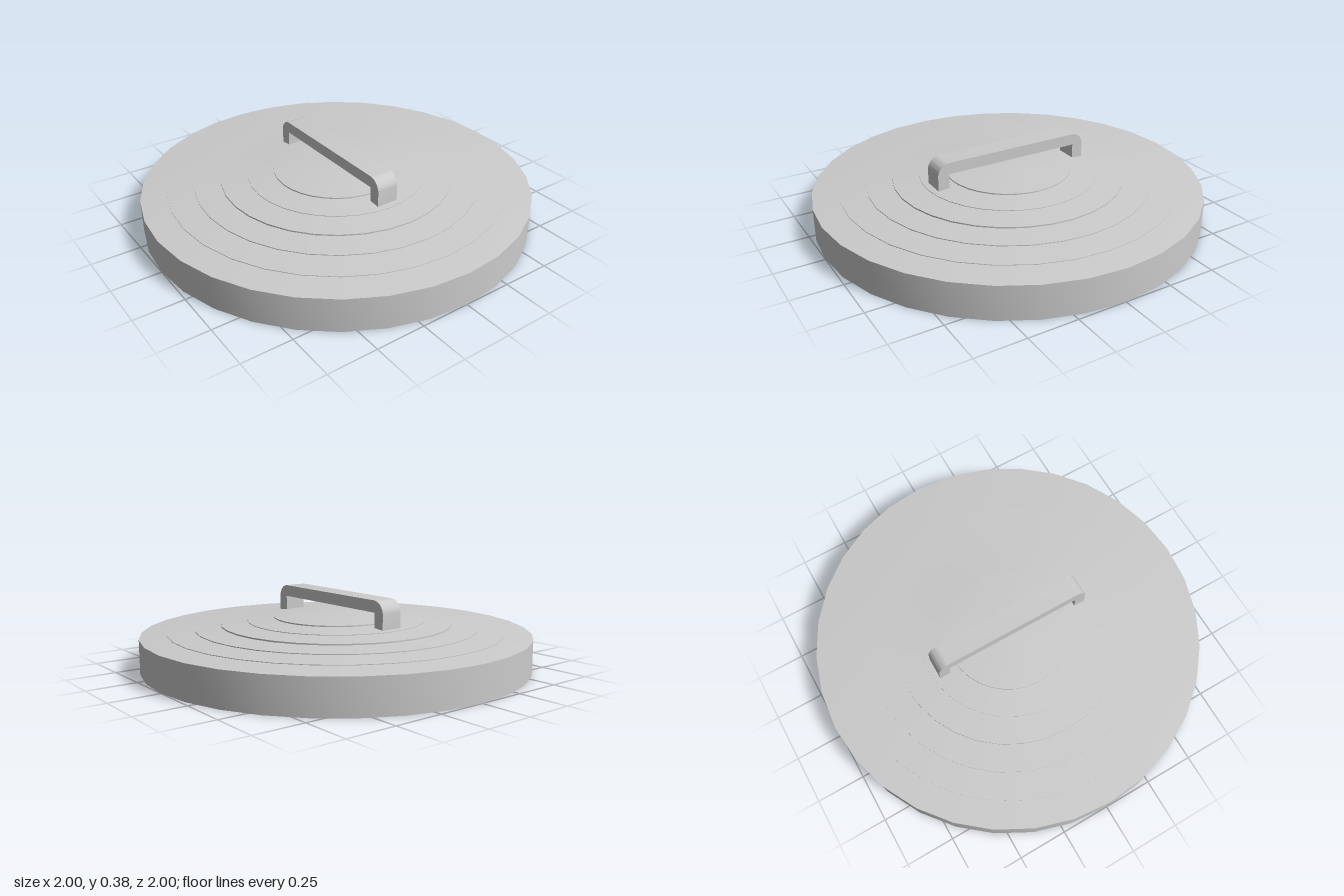
import * as THREE from 'three';
import { toCreasedNormals } from 'three/addons/utils/BufferGeometryUtils.js';

const material = new THREE.MeshStandardMaterial({ color: 0xcccccc });

function part(name, geometry) {
  const mesh = new THREE.Mesh(toCreasedNormals(geometry, Math.PI / 6), material);
  mesh.name = name;
  return mesh;
}

// Lid: recessed underside, straight rim and a shallow dome of stepped rings
function makeLid() {
  const rings = [ // radius, height below the step, height above it
    [0.866, 0.185, 0.188], [0.73, 0.199, 0.203], [0.595, 0.213, 0.220],
    [0.459, 0.231, 0.234], [0.323, 0.246, 0.252],
  ];
  const profile = [[0, 0.107], [0.938, 0.107], [0.938, 0], [1, 0], [1, 0.172]];
  for (const [r, low, high] of rings) profile.push([r, low], [r, high]);
  profile.push([0.1, 0.268], [0, 0.268]);
  return part('lid', new THREE.LatheGeometry(profile.map(([r, y]) => new THREE.Vector2(r, y)), 32));
}

// Handle: flat strap with rounded outer corners, its feet sunk into the lid
function makeHandle() {
  const outer = 0.425, inner = 0.365, top = 0.375, under = 0.316, foot = 0.22, r = 0.065, width = 0.114;
  const shape = new THREE.Shape();
  shape.moveTo(-outer, foot);
  shape.lineTo(-inner, foot);
  shape.lineTo(-inner, under);
  shape.lineTo(inner, under);
  shape.lineTo(inner, foot);
  shape.lineTo(outer, foot);
  shape.lineTo(outer, top - r);
  shape.absarc(outer - r, top - r, r, 0, Math.PI / 2, false);
  shape.lineTo(-outer + r, top);
  shape.absarc(-outer + r, top - r, r, Math.PI / 2, Math.PI, false);
  const geometry = new THREE.ExtrudeGeometry(shape, { depth: width, bevelEnabled: false, curveSegments: 6 });
  geometry.translate(0, 0, -width / 2).rotateY(Math.PI / 2);
  return part('handle', geometry);
}

export function createModel() {
  const group = new THREE.Group();
  group.name = 'potLid';
  group.add(makeLid(), makeHandle());
  return group;
}
